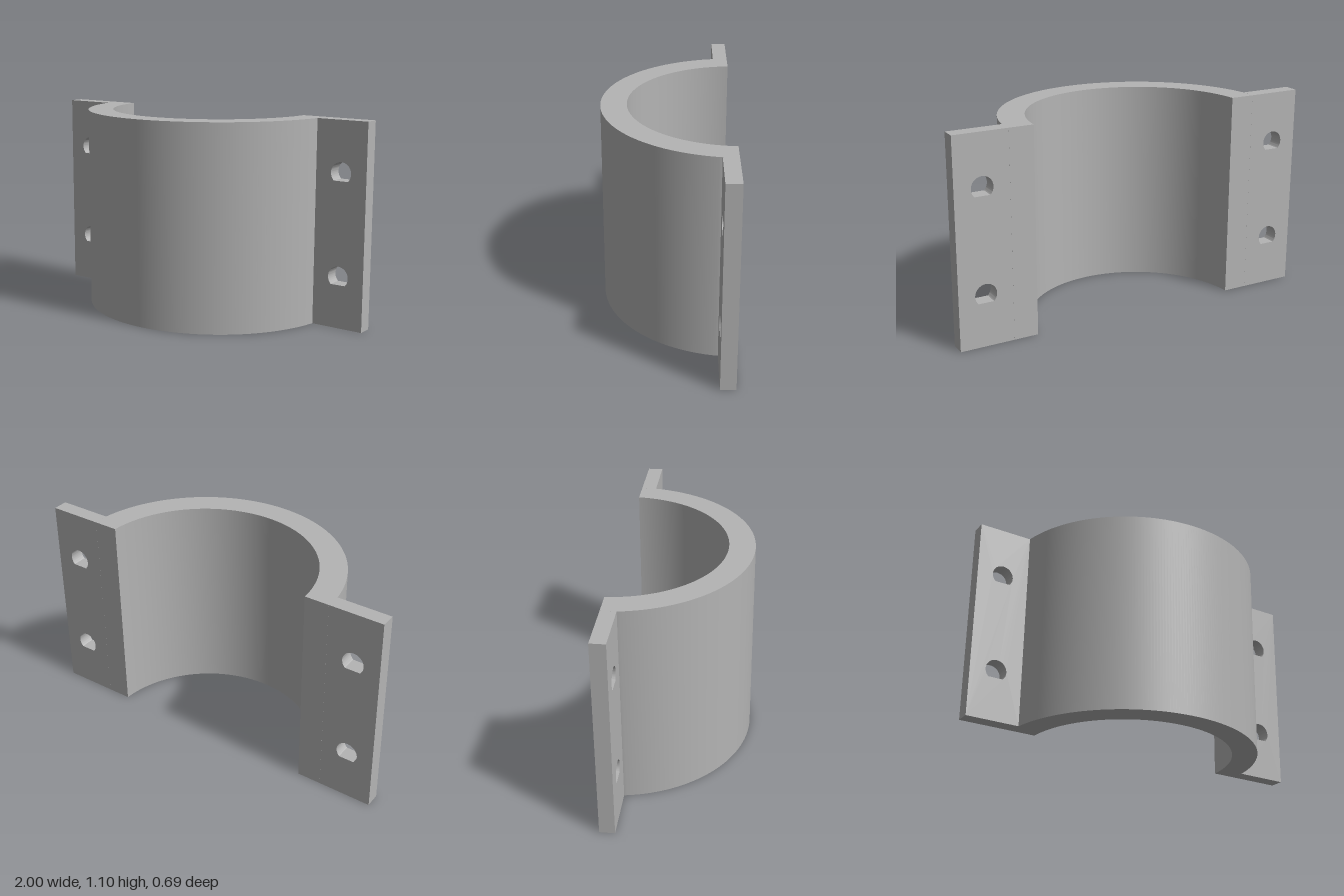
import * as THREE from 'three';
import { toCreasedNormals } from 'three/addons/utils/BufferGeometryUtils.js';

const HEIGHT = 1.1;
const BACK = -0.345, FLANGE_FRONT = -0.265; // z faces of the flanges
const CENTRE = -0.373, OUTER = 0.718, INNER = 0.58; // half-pipe centre z and radii

const extrude = (shape, depth, curveSegments) =>
  new THREE.ExtrudeGeometry(shape, { depth, curveSegments, bevelEnabled: false });

// Half-pipe section, drawn with shape y = -z and extruded upward
function saddleGeometry() {
  const a = Math.asin((CENTRE - FLANGE_FRONT) / OUTER);
  const b = Math.asin((CENTRE - BACK) / INNER);
  const xOut = OUTER * Math.cos(a), xIn = INNER * Math.cos(b);
  const s = new THREE.Shape();
  s.moveTo(xIn, -BACK);
  s.lineTo(xOut, -BACK);
  s.lineTo(xOut, -FLANGE_FRONT);
  s.absarc(0, -CENTRE, OUTER, a, -Math.PI - a, true);
  s.lineTo(-xOut, -BACK);
  s.lineTo(-xIn, -BACK);
  s.absarc(0, -CENTRE, INNER, -Math.PI - b, b, false);
  return toCreasedNormals(extrude(s, HEIGHT, 64).rotateX(-Math.PI / 2), 0.4);
}

// Teardrop bolt hole with its point downward
function teardrop(x, y, r) {
  const h = new THREE.Path();
  h.moveTo(x, y - r * Math.SQRT2);
  h.absarc(x, y, r, -Math.PI / 4, Math.PI * 1.25, false);
  h.closePath();
  return h;
}

// Flat mounting flange with two holes
function flangeGeometry(side) {
  const x0 = side * 0.71, x1 = side;
  const s = new THREE.Shape();
  s.moveTo(x0, 0);
  s.lineTo(x1, 0);
  s.lineTo(x1, HEIGHT);
  s.lineTo(x0, HEIGHT);
  s.closePath();
  for (const y of [0.275, 0.825]) s.holes.push(teardrop(side * 0.855, y, 0.058));
  return toCreasedNormals(extrude(s, FLANGE_FRONT - BACK, 32).translate(0, 0, BACK), 0.4);
}

export function createModel() {
  const model = new THREE.Group();
  model.name = 'pipeClamp';
  const grey = new THREE.MeshStandardMaterial({ color: 0xb4b4b4 });
  grey.name = 'grey';
  const add = (name, geometry) => {
    const mesh = new THREE.Mesh(geometry, grey);
    mesh.name = name;
    model.add(mesh);
  };
  add('saddle', saddleGeometry());
  add('leftFlange', flangeGeometry(1));
  add('rightFlange', flangeGeometry(-1));
  return model;
}
